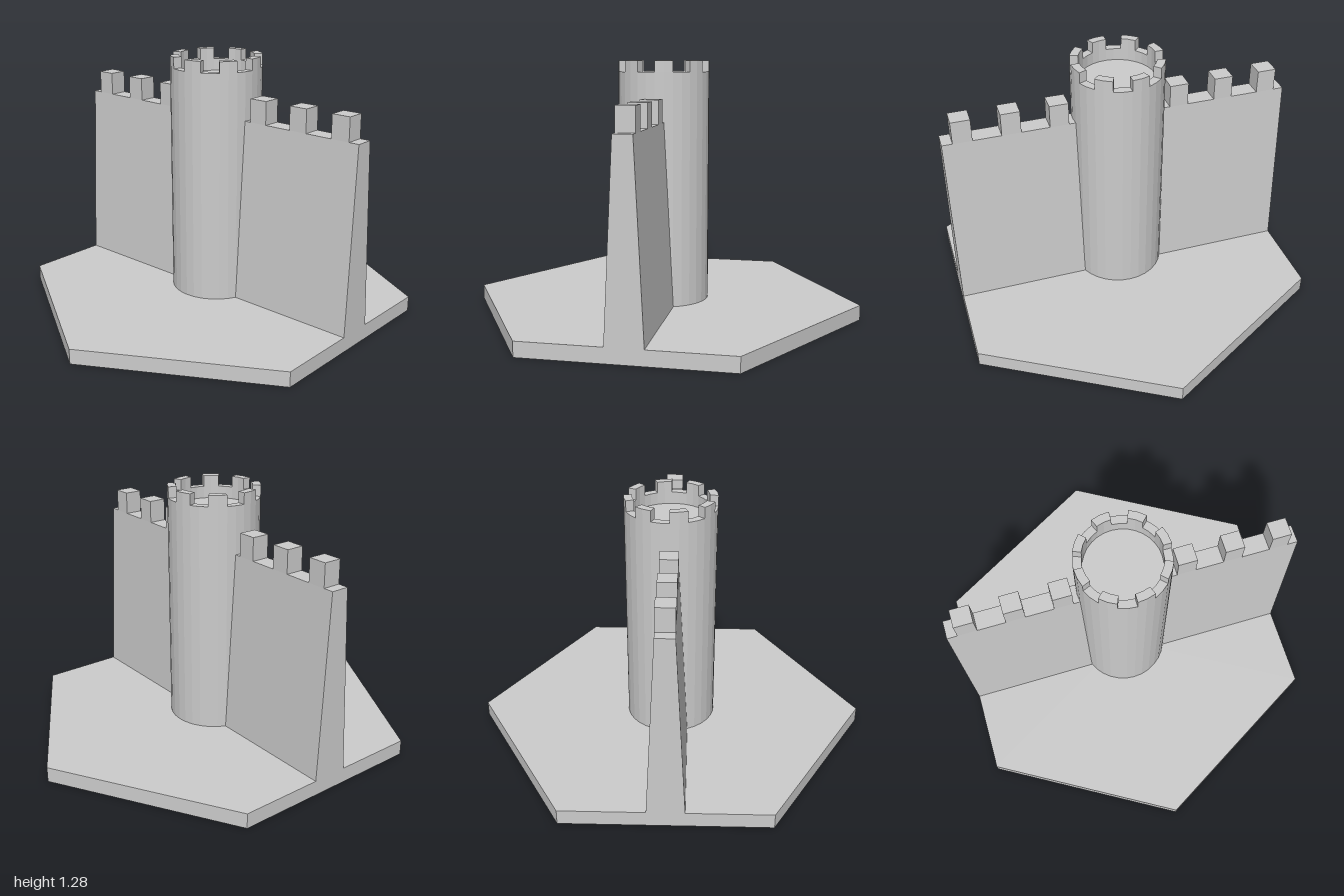
import * as THREE from 'three';

const BASE_TOP = 0.075;
const WALL_TOP = 0.99;
const TOWER_R = 0.228;
const INNER_R = 0.187;
const NOTCH_Y = 1.23;
const TOWER_TOP = 1.285;
const SIDES = 32;

export function createModel() {
  const model = new THREE.Group();
  model.name = 'castleWallTile';
  const grey = new THREE.MeshStandardMaterial({ color: 0xcccccc, flatShading: true });

  const add = (name, geometry, parent = model) => {
    const mesh = new THREE.Mesh(geometry, grey);
    mesh.name = name;
    parent.add(mesh);
    return mesh;
  };
  const addGroup = (name) => {
    const group = new THREE.Group();
    group.name = name;
    model.add(group);
    return group;
  };

  // Hexagonal ground tile with corners on the x axis
  const base = new THREE.CylinderGeometry(1, 1, BASE_TOP, 6);
  base.rotateY(Math.PI / 6).translate(0, BASE_TOP / 2, 0);
  add('base', base);

  // Tapered wall running from edge to edge through the tower
  const halfLength = Math.sqrt(3) / 2;
  const section = new THREE.Shape([
    new THREE.Vector2(-0.09, BASE_TOP),
    new THREE.Vector2(0.09, BASE_TOP),
    new THREE.Vector2(0.045, WALL_TOP),
    new THREE.Vector2(-0.045, WALL_TOP),
  ]);
  const wall = new THREE.ExtrudeGeometry(section, { depth: halfLength * 2, bevelEnabled: false });
  add('wall', wall.translate(0, 0, -halfLength));

  // Three battlements on each half of the wall
  const wallMerlons = addGroup('wallBattlements');
  for (const side of [1, -1]) {
    for (const z of [0.303, 0.536, 0.768]) {
      const merlon = add('wallMerlon', new THREE.BoxGeometry(0.09, 0.115, 0.094), wallMerlons);
      merlon.position.set(0, WALL_TOP + 0.0575, side * z);
    }
  }

  // Round tower with a sunken platform
  const profile = [
    [TOWER_R, BASE_TOP], [TOWER_R, NOTCH_Y], [INNER_R, NOTCH_Y], [INNER_R, 1.17], [0, 1.17],
  ].map(([r, y]) => new THREE.Vector2(r, y));
  add('tower', new THREE.LatheGeometry(profile, SIDES));

  // Eight curved battlements, each as wide as the gap beside it
  const step = (Math.PI * 2) / SIDES;
  const arc = (r) => [0, 1, 2].map((i) =>
    new THREE.Vector2(r * Math.sin(i * step), -r * Math.cos(i * step)));
  const merlonPlan = new THREE.Shape([...arc(TOWER_R), ...arc(INNER_R).reverse()]);
  const merlonGeometry = new THREE.ExtrudeGeometry(merlonPlan, {
    depth: TOWER_TOP - NOTCH_Y, bevelEnabled: false,
  }).rotateX(-Math.PI / 2);
  const towerMerlons = addGroup('towerBattlements');
  for (let i = 0; i < 8; i++) {
    const merlon = add('towerMerlon', merlonGeometry, towerMerlons);
    merlon.position.y = NOTCH_Y;
    merlon.rotation.y = i * Math.PI / 4;
  }

  return model;
}
